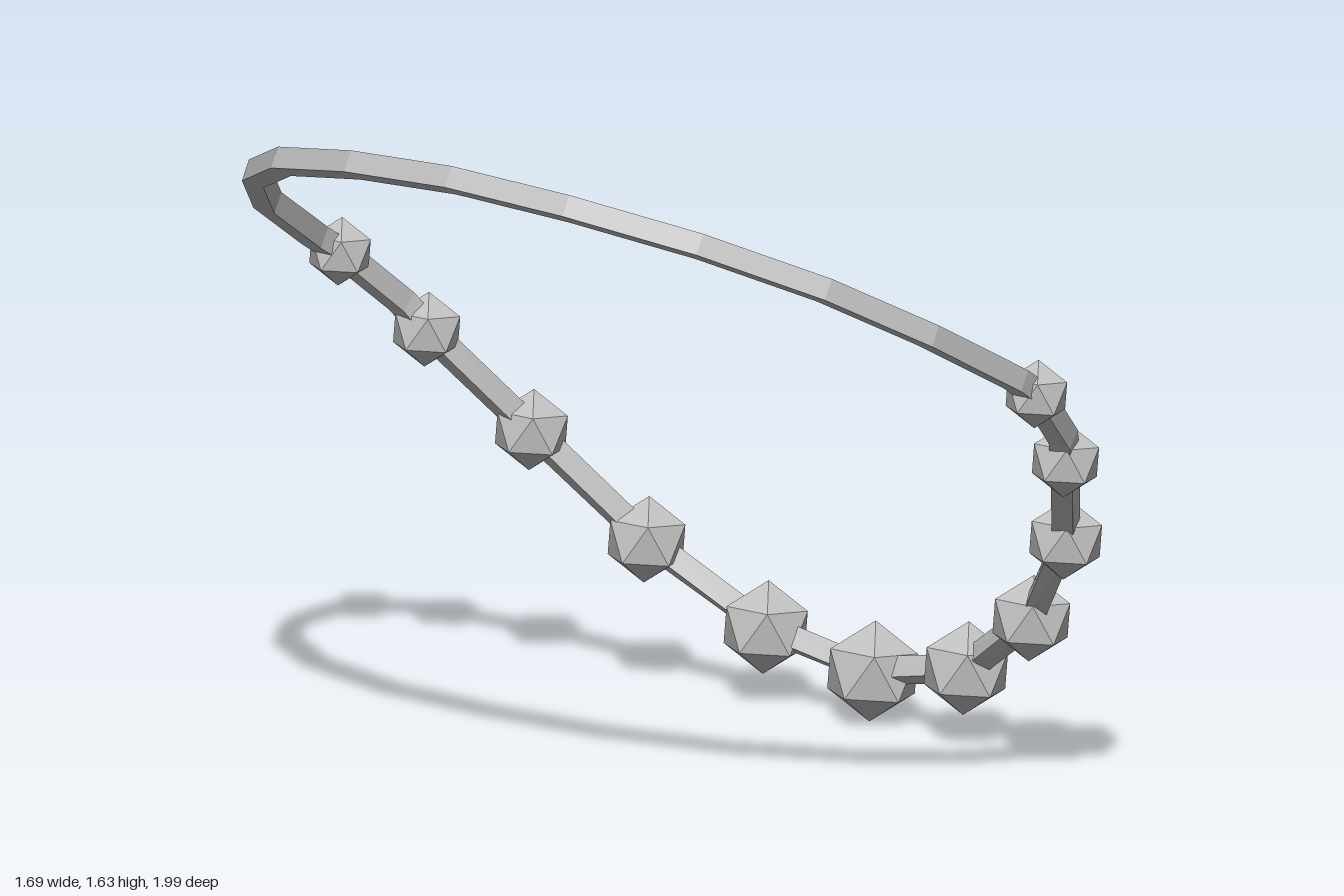
import * as THREE from 'three';

export function createModel() {
  const necklace = new THREE.Group();
  necklace.name = 'beadedNecklace';
  const silver = new THREE.MeshStandardMaterial({ color: 0xc0c0c0 });
  silver.name = 'silver';
  silver.flatShading = true;

  // Beads on the left half, from the end of the row to the pendant: x, y, z, radius
  const beads = [
    [0.06, 1.065, 0.932, 0.076],
    [0.275, 0.85, 0.855, 0.083],
    [0.47, 0.6, 0.715, 0.09],
    [0.62, 0.35, 0.515, 0.096],
    [0.72, 0.17, 0.268, 0.104],
    [0.745, 0.111, 0, 0.112],
  ];

  // Half of the cord, from the back of the neck to the pendant
  const half = [
    [-0.81, 1.597, 0], [-0.78, 1.575, 0.285], [-0.67, 1.51, 0.555], [-0.49, 1.403, 0.76],
    [-0.275, 1.27, 0.885], [-0.025, 1.12, 0.938], beads[0], [0.225, 0.92, 0.885], ...beads.slice(1),
  ].map(([x, y, z]) => new THREE.Vector3(x, y, z));
  const mirrored = half.slice(1, -1).reverse().map((p) => new THREE.Vector3(p.x, p.y, -p.z));
  const path = [...half, ...mirrored];

  // Square cord swept around the closed path
  const up = new THREE.Vector3(0.53, 0.85, 0).normalize();
  const r = 0.035;
  const count = path.length;
  const rings = path.map((p, i) => {
    const prev = path[(i + count - 1) % count];
    const next = path[(i + 1) % count];
    const t = p.clone().sub(prev).normalize().add(next.clone().sub(p).normalize()).normalize();
    const n = up.clone().addScaledVector(t, -up.dot(t)).normalize();
    const out = t.clone().cross(n);
    return [0, 1, 2, 3].map((k) => {
      const a = Math.PI / 4 + (k * Math.PI) / 2;
      return p.clone().addScaledVector(n, r * Math.cos(a)).addScaledVector(out, r * Math.sin(a));
    });
  });
  const positions = [];
  rings.forEach((ring, i) => {
    const next = rings[(i + 1) % count];
    for (let k = 0; k < 4; k++) {
      const j = (k + 1) % 4;
      for (const v of [ring[k], ring[j], next[j], ring[k], next[j], next[k]]) positions.push(v.x, v.y, v.z);
    }
  });
  const cordGeometry = new THREE.BufferGeometry();
  cordGeometry.setAttribute('position', new THREE.Float32BufferAttribute(positions, 3));
  cordGeometry.computeVertexNormals();
  const cord = new THREE.Mesh(cordGeometry, silver);
  cord.name = 'cord';
  necklace.add(cord);

  // Faceted beads, growing toward the pendant and mirrored to both sides
  const addBead = (name, x, y, z, radius) => {
    const bead = new THREE.Mesh(new THREE.IcosahedronGeometry(radius, 0), silver);
    bead.name = name;
    bead.position.set(x, y, z);
    bead.rotation.z = -0.66;
    necklace.add(bead);
  };
  beads.forEach(([x, y, z, radius], i) => {
    if (z === 0) return addBead('centreBead', x, y, z, radius);
    addBead(`frontBead${i + 1}`, x, y, z, radius);
    addBead(`backBead${i + 1}`, x, y, -z, radius);
  });

  return necklace;
}
